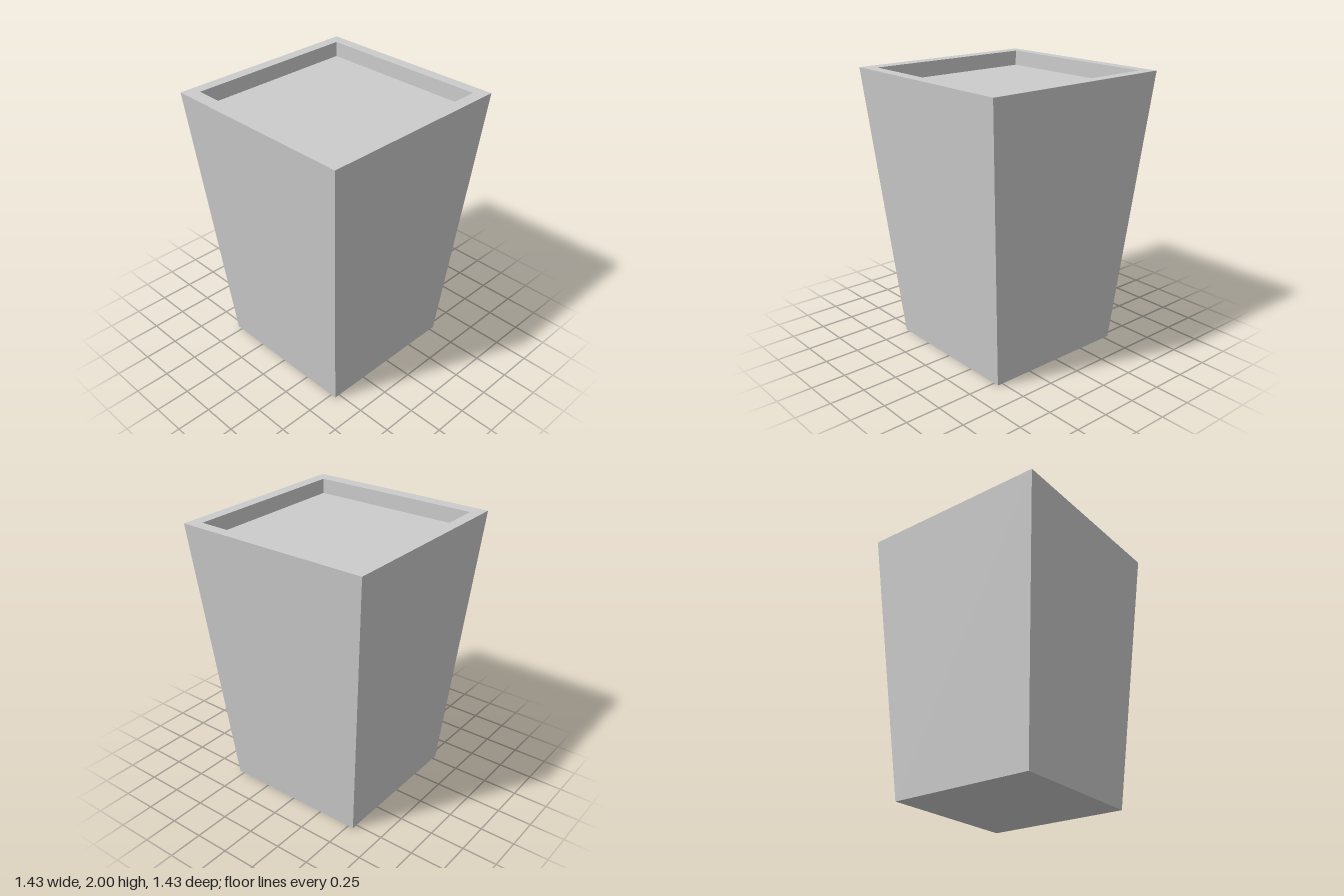
import * as THREE from 'three';

const material = new THREE.MeshStandardMaterial({ color: 0xcccccc, flatShading: true });

// Rectangular cross-section at height y, counter-clockwise seen from above
const section = (y, x0, x1, z0, z1) => [[x0, y, z1], [x1, y, z1], [x1, y, z0], [x0, y, z0]];
const square = (y, h) => section(y, -h, h, -h, h);

function meshFromQuads(name, quads) {
  const points = quads.flatMap(([a, b, c, d]) => [a, b, c, a, c, d]);
  const geometry = new THREE.BufferGeometry();
  geometry.setAttribute('position', new THREE.Float32BufferAttribute(points.flat(), 3));
  geometry.computeVertexNormals();
  const mesh = new THREE.Mesh(geometry, material);
  mesh.name = name;
  return mesh;
}

// Four flat sides joining one cross-section to the next
const band = (from, to) => from.map((p, i) => {
  const j = (i + 1) % from.length;
  return [p, from[j], to[j], to[i]];
});

export function createModel() {
  const group = new THREE.Group();
  group.name = 'planter';

  const foot = square(0, 0.54);
  const outerRim = square(2, 0.717);
  const opening = (y) => section(y, -0.636, 0.631, -0.635, 0.62);
  const innerRim = opening(2);
  const floor = opening(1.89);

  group.add(
    meshFromQuads('taperedWalls', band(foot, outerRim)),
    meshFromQuads('base', [[...foot].reverse()]),
    meshFromQuads('rim', band(outerRim, innerRim)),
    meshFromQuads('recessWalls', band(innerRim, floor)),
    meshFromQuads('soilSurface', [floor]),
  );
  return group;
}
